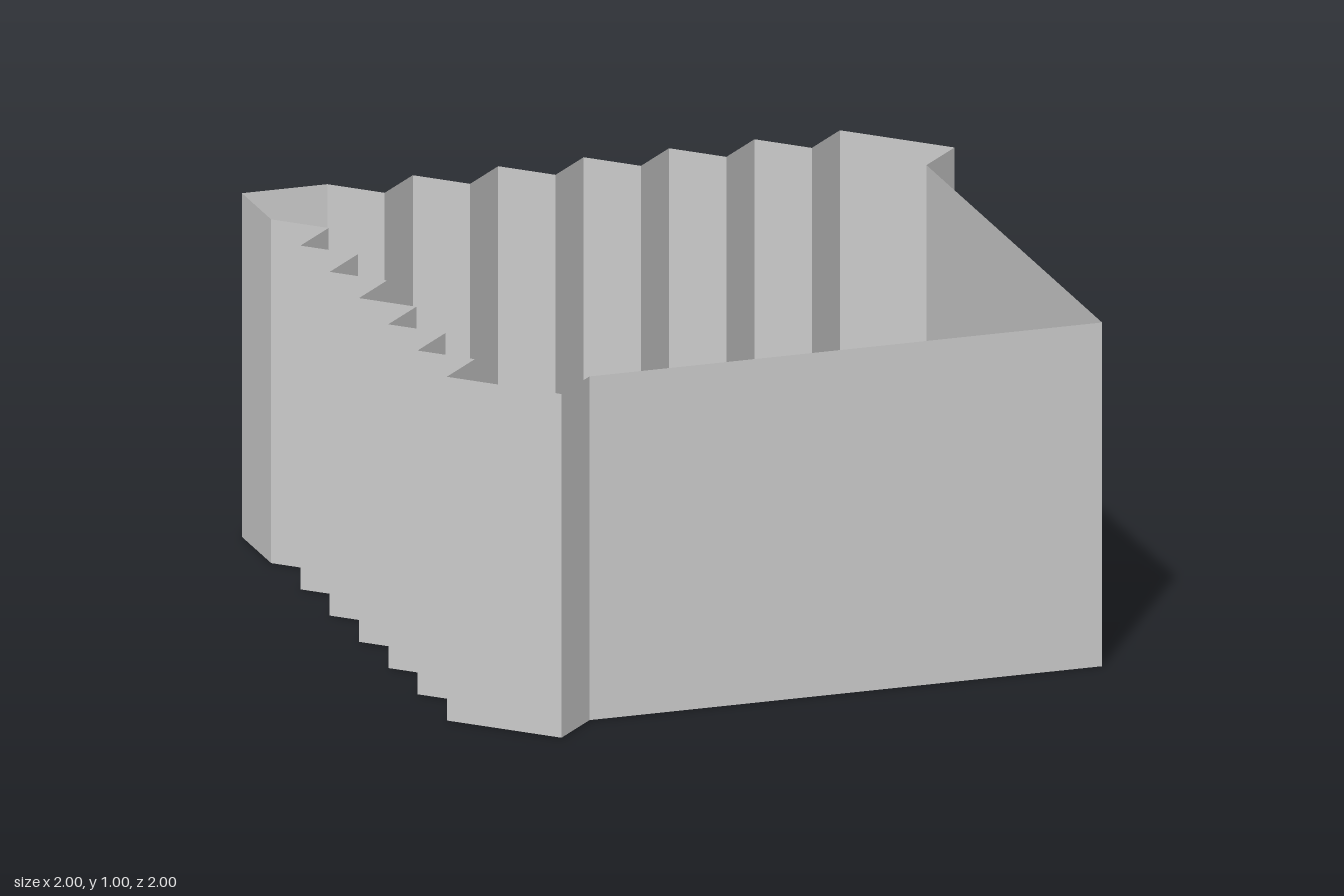
import * as THREE from 'three';

const HEIGHT = 1;
const material = new THREE.MeshStandardMaterial({
  color: 0xcccccc, flatShading: true, side: THREE.DoubleSide,
});

// Upright sheet along a path of [x, z] points, facing to the right of its travel
function wall(name, path) {
  const positions = [];
  for (let i = 0; i < path.length - 1; i++) {
    const [ax, az] = path[i];
    const [bx, bz] = path[i + 1];
    positions.push(
      ax, 0, az, bx, 0, bz, bx, HEIGHT, bz,
      ax, 0, az, bx, HEIGHT, bz, ax, HEIGHT, az,
    );
  }
  const geometry = new THREE.BufferGeometry();
  geometry.setAttribute('position', new THREE.Float32BufferAttribute(positions, 3));
  geometry.computeVertexNormals();
  const mesh = new THREE.Mesh(geometry, material);
  mesh.name = name;
  return mesh;
}

export function createModel() {
  const group = new THREE.Group();
  group.name = 'pleatedEnclosure';

  // Two plain walls meeting at the front corner
  group.add(wall('frontWall', [[-0.625, 0.875], [0.875, 0.875]]));
  group.add(wall('sideWall', [[0.875, 0.875], [0.875, -0.625]]));

  // Pleats: ridges at 1, grooves at 0.875, every 0.125 along the wall
  const backPleats = [];
  for (let i = 0; i <= 12; i++) backPleats.push([0.75 - i * 0.125, i % 2 ? -0.875 : -1]);
  const sidePleats = backPleats.map(([x, z]) => [z, x]).reverse();
  group.add(wall('backPleats', backPleats));
  group.add(wall('sidePleats', sidePleats));

  // Square back corner joining the two pleated walls
  group.add(wall('backCorner', [[-0.75, -1], [-1, -1], [-1, -0.75]]));

  // Angled end posts joining pleats to plain walls
  group.add(wall('rightEndPost', [[0.875, -0.625], [1, -0.75], [0.75, -1]]));
  group.add(wall('leftEndPost', [[-1, 0.75], [-0.75, 1], [-0.625, 0.875]]));

  return group;
}
